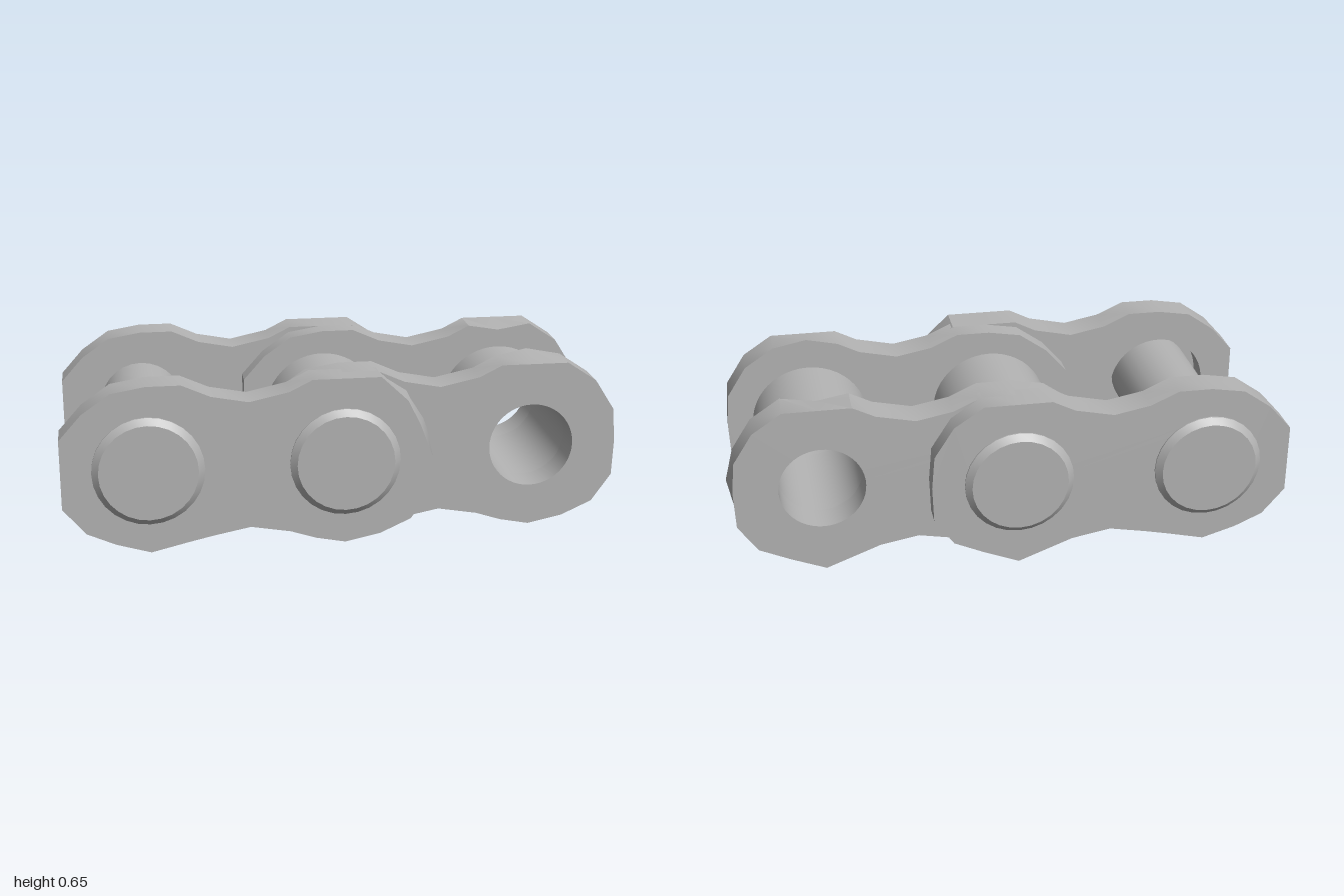
import * as THREE from 'three';
import { toCreasedNormals } from 'three/addons/utils/BufferGeometryUtils.js';

const CY = 0.327; // height of the pin axes
const PITCH = 0.685;
const PIN_X = [-0.7, -0.015];

// Waisted side plate, counter-clockwise from the lower left
const OUTLINE = [
  [-1, 0.2], [-0.92, 0.105], [-0.82, 0.06], [-0.7, 0.024], [-0.57, 0.055], [-0.48, 0.075],
  [-0.35, 0.1], [-0.21, 0.075], [-0.12, 0.045], [-0.015, 0.024], [0.11, 0.05], [0.22, 0.1],
  [0.29, 0.2], [0.295, 0.33], [0.285, 0.45], [0.215, 0.56], [0.11, 0.63], [-0.015, 0.63],
  [-0.13, 0.63], [-0.21, 0.59], [-0.35, 0.56], [-0.48, 0.585], [-0.58, 0.63], [-0.7, 0.63],
  [-0.82, 0.61], [-0.92, 0.54], [-1, 0.45],
];

// nudges: [outline index, dx, dy, face] with face 0 = back, 1 = front, for uneven worn edges
function plateGeometry(depth, holeRadius, nudges) {
  const shape = new THREE.Shape(OUTLINE.map(([x, y]) => new THREE.Vector2(x, y)));
  for (const x of PIN_X) {
    const hole = new THREE.Path();
    hole.absarc(x, CY, holeRadius, 0, Math.PI * 2, true);
    shape.holes.push(hole);
  }
  const geo = new THREE.ExtrudeGeometry(shape, { depth, bevelEnabled: false, curveSegments: 24 });
  const p = geo.attributes.position;
  for (let v = 0; v < p.count; v++) {
    const x = p.getX(v), y = p.getY(v), face = p.getZ(v) > depth / 2 ? 1 : 0;
    for (const [i, dx, dy, f] of nudges) {
      if (f === face && Math.hypot(x - OUTLINE[i][0], y - OUTLINE[i][1]) < 1e-4) {
        p.setXY(v, x + dx, y + dy);
      }
    }
  }
  geo.computeVertexNormals();
  return toCreasedNormals(geo, 0.6);
}

// Turned part along z from a profile of [radius, z]
function turned(profile, segments) {
  const geo = new THREE.LatheGeometry(profile.map(([r, z]) => new THREE.Vector2(r, z)), segments);
  geo.rotateX(Math.PI / 2);
  return toCreasedNormals(geo, 0.5);
}

export function createModel() {
  const group = new THREE.Group();
  const steel = new THREE.MeshStandardMaterial({ color: 0xb3b3b3 });
  steel.name = 'steel';

  const add = (name, geo, x, y, z) => {
    const mesh = new THREE.Mesh(geo, steel);
    mesh.name = name;
    mesh.position.set(x, y, z);
    group.add(mesh);
  };

  // Side plates: outer pair on the left, inner pair one pitch to the right
  add('outerPlateFront', plateGeometry(0.118, 0.185, [[14, -0.035, 0, 1], [15, -0.01, -0.02, 1]]), 0, 0, 0.287);
  add('outerPlateBack', plateGeometry(0.118, 0.185, [[3, 0, -0.024, 1], [9, 0, -0.024, 0]]), 0, 0, -0.405);
  add('innerPlateFront', plateGeometry(0.118, 0.153, [[23, 0, 0, 0], [17, 0, 0.025, 0], [0, -0.015, 0, 0]]),
    PITCH, 0, 0.21);
  add('innerPlateBack', plateGeometry(0.118, 0.153, [[9, 0, -0.024, 0], [13, 0.02, 0, 1], [17, 0, -0.02, 1]]),
    PITCH, 0, -0.328);

  // Pins with wide chamfered heads
  const head = [[0.155, 0.385], [0.195, 0.385], [0.195, 0.41], [0.172, 0.43], [0, 0.43]];
  const pinProfile = [...head.map(([r, z]) => [r, -z]).reverse(), ...head];
  PIN_X.forEach((x, i) => add(i ? 'middlePin' : 'leftPin', turned(pinProfile, 28), x, CY, 0));

  // Hollow rollers between the inner plates
  const roller = [[0.153, -0.213], [0.216, -0.213], [0.216, 0.213], [0.153, 0.213], [0.153, -0.213]];
  PIN_X.forEach((x, i) => add(i ? 'rightRoller' : 'middleRoller', turned(roller, 48), x + PITCH, CY, 0));

  return group;
}
